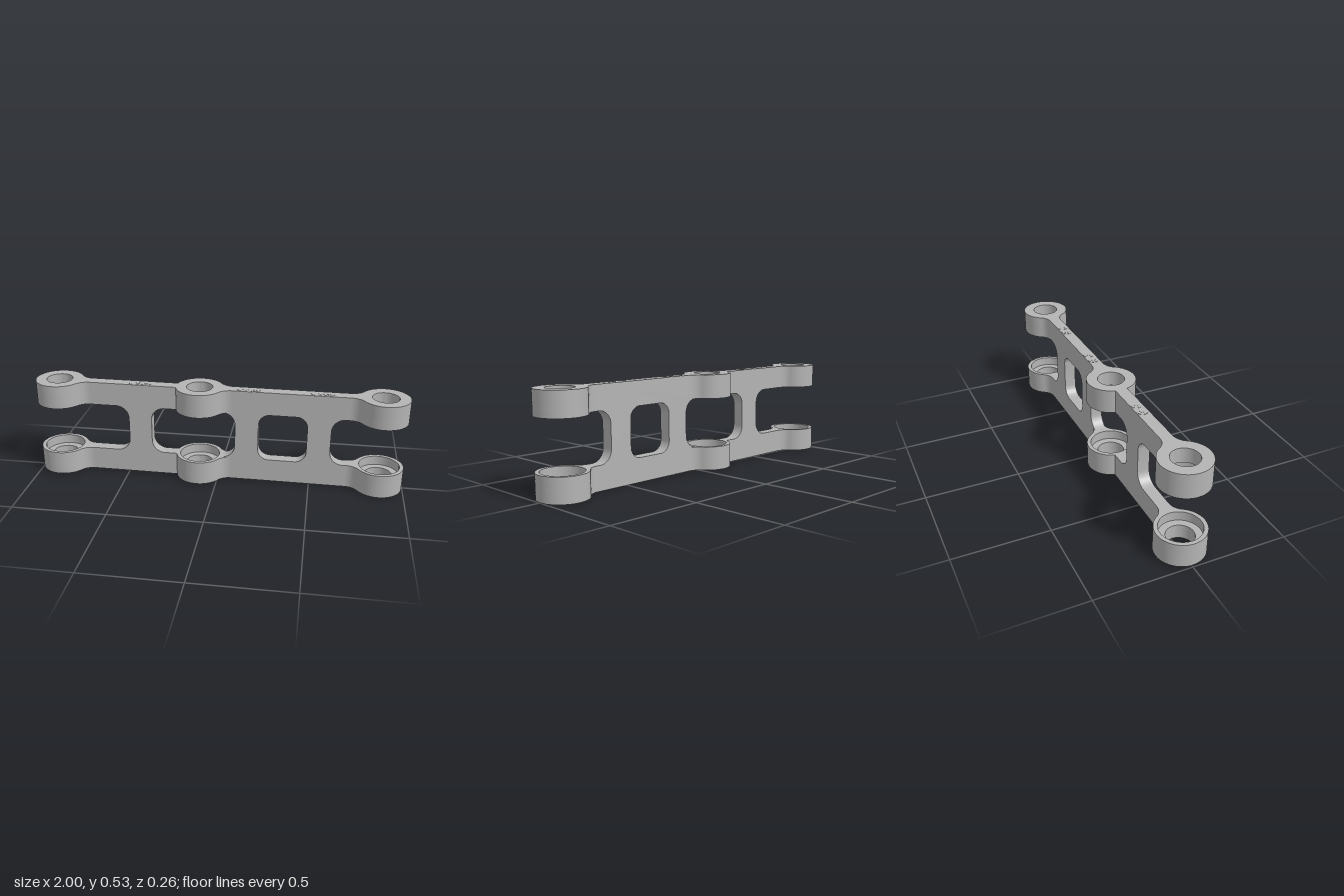
import * as THREE from 'three';
import { toCreasedNormals } from 'three/addons/utils/BufferGeometryUtils.js';

const HALF = 0.258;    // half of the overall height
const INNER = 0.131;   // inner faces of the upper and lower arms
const WEB = 0.032;     // half of the web thickness
const R = 0.128;       // outer radius of the eyes
const BORE = 0.07, POCKET = 0.107, POCKET_DEPTH = 0.05;

const metal = new THREE.MeshStandardMaterial({ color: 0xb4b4b4 });
metal.name = 'grey metal';

function extrude(shape, depth) {
  const g = new THREE.ExtrudeGeometry(shape, { depth, bevelEnabled: false, curveSegments: 28 });
  return toCreasedNormals(g, 0.5);
}

// Eye outline with a filleted neck running out to +x, seen from above
function eyeShape(holeRadius) {
  const f = 0.08, cz = WEB + f;
  const cx = Math.sqrt((R + f) ** 2 - cz ** 2);
  const a = Math.atan2(cz, cx);
  const s = new THREE.Shape();
  s.absarc(0, 0, R, a, 2 * Math.PI - a, false);
  s.absarc(cx, -cz, f, Math.PI - a, Math.PI / 2, true);
  s.lineTo(cx, WEB);
  s.absarc(cx, cz, f, -Math.PI / 2, a - Math.PI, true);
  s.closePath();
  s.holes.push(new THREE.Path().absarc(0, 0, holeRadius, 0, Math.PI * 2, true));
  return s;
}

// Lower eye: narrow bore below, wide pocket opening upward
function makeEye() {
  const eye = new THREE.Group();
  const boreHeight = HALF - INNER - POCKET_DEPTH;
  for (const [name, r, y, h] of [
    ['bore', BORE, -HALF, boreHeight],
    ['pocket', POCKET, -HALF + boreHeight, POCKET_DEPTH],
  ]) {
    const g = extrude(eyeShape(r), h);
    g.rotateX(-Math.PI / 2);
    g.translate(0, y, 0);
    const m = new THREE.Mesh(g, metal);
    m.name = name;
    eye.add(m);
  }
  return eye;
}

// I-shaped web: arms from x0 to x1, upright body from u0 to u1
function webShape(x0, u0, u1, x1) {
  const r = 0.07, i = INNER, s = new THREE.Shape();
  s.moveTo(x0, -HALF);
  s.lineTo(x1, -HALF);
  s.lineTo(x1, -i);
  s.absarc(u1 + r, -i + r, r, -Math.PI / 2, -Math.PI, true);
  s.absarc(u1 + r, i - r, r, Math.PI, Math.PI / 2, true);
  s.lineTo(x1, i);
  s.lineTo(x1, HALF);
  s.lineTo(x0, HALF);
  s.lineTo(x0, i);
  s.absarc(u0 - r, i - r, r, Math.PI / 2, 0, true);
  s.absarc(u0 - r, -i + r, r, 0, -Math.PI / 2, true);
  s.lineTo(x0, -i);
  s.closePath();
  return s;
}

// Rounded window through the web
function windowPath(x0, x1) {
  const r = 0.06, i = INNER, p = new THREE.Path();
  p.absarc(x0 + r, -i + r, r, -Math.PI / 2, -Math.PI, true);
  p.absarc(x0 + r, i - r, r, Math.PI, Math.PI / 2, true);
  p.absarc(x1 - r, i - r, r, Math.PI / 2, 0, true);
  p.absarc(x1 - r, -i + r, r, 0, -Math.PI / 2, true);
  p.closePath();
  return p;
}

export function createModel() {
  const model = new THREE.Group();
  model.name = 'hingeLink';
  const link = new THREE.Group();
  link.name = 'linkBody';
  link.position.y = 0.264;
  link.rotation.z = -0.006;
  model.add(link);

  // Webs
  const shortWeb = webShape(-0.70, -0.485, -0.36, -0.216);
  const longWeb = webShape(0.02, 0.095, 0.605, 0.70);
  longWeb.holes.push(windowPath(0.22, 0.48));
  for (const [name, shape] of [['shortWeb', shortWeb], ['longWeb', longWeb]]) {
    const g = extrude(shape, WEB * 2);
    g.translate(0, 0, -WEB);
    const m = new THREE.Mesh(g, metal);
    m.name = name;
    link.add(m);
  }

  // Eyes, with the upper ones flipped so that the pockets face each other
  for (const [name, x, turn] of [
    ['endEyeRight', -0.87, 0], ['middleEye', -0.1, 0], ['endEyeLeft', 0.87, Math.PI],
  ]) {
    for (const upper of [false, true]) {
      const eye = makeEye();
      eye.name = (upper ? 'upper ' : 'lower ') + name;
      eye.position.x = x;
      eye.rotation.set(upper ? Math.PI : 0, turn, 0);
      link.add(eye);
    }
  }

  // Pairs of flush pins on the top and bottom edges
  const rim = new THREE.CylinderGeometry(0.029, 0.029, 0.003, 28);
  const centre = new THREE.CylinderGeometry(0.012, 0.012, 0.005, 20);
  for (const x of [-0.455, -0.39, 0.13, 0.195, 0.515, 0.58]) {
    for (const side of [-1, 1]) {
      const pin = new THREE.Group();
      pin.name = 'pin';
      pin.position.set(x, side * HALF, 0);
      pin.add(new THREE.Mesh(rim, metal), new THREE.Mesh(centre, metal));
      pin.children[0].name = 'pinRim';
      pin.children[1].name = 'pinCentre';
      link.add(pin);
    }
  }
  return model;
}
